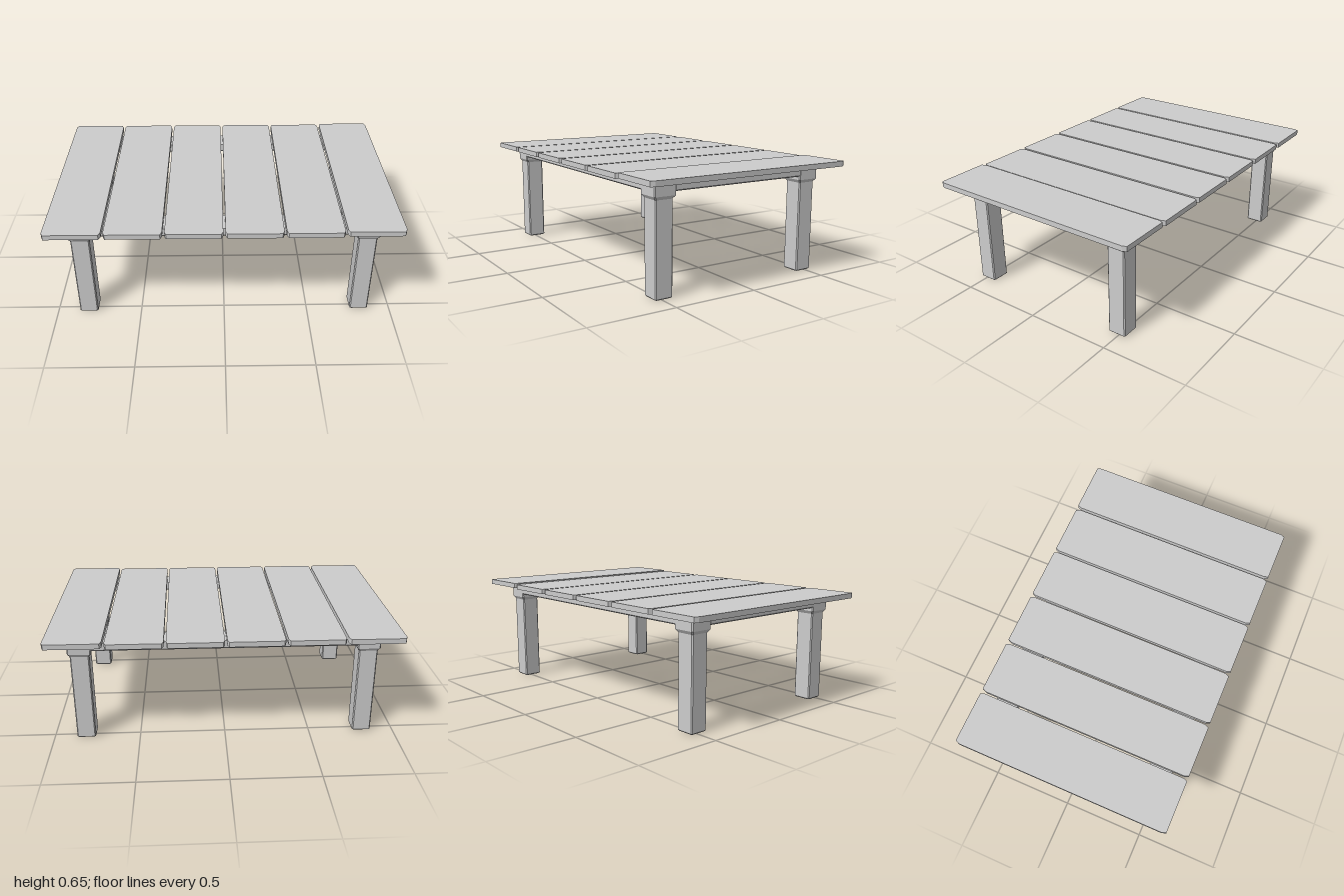
import * as THREE from 'three';

// Stacks chamfered rectangles [y, halfX, halfZ, chamferX, chamferZ] into a closed, flat-faced solid
function loft(sections) {
  const rings = sections.map(([y, w, d, cx, cz]) => [
    [w, d - cz], [w, cz - d], [w - cx, -d], [cx - w, -d],
    [-w, cz - d], [-w, d - cz], [cx - w, d], [w - cx, d],
  ].map(([x, z]) => [x, y, z]));
  const pos = [];
  const tri = (a, b, c) => pos.push(...a, ...b, ...c);
  for (let k = 0; k < rings.length - 1; k++) {
    const lo = rings[k], hi = rings[k + 1];
    for (let i = 0; i < 8; i++) {
      const j = (i + 1) % 8;
      tri(lo[i], lo[j], hi[j]);
      tri(lo[i], hi[j], hi[i]);
    }
  }
  const bottom = rings[0], top = rings[rings.length - 1];
  for (let i = 1; i < 7; i++) {
    tri(bottom[0], bottom[i + 1], bottom[i]);
    tri(top[0], top[i], top[i + 1]);
  }
  const geo = new THREE.BufferGeometry();
  geo.setAttribute('position', new THREE.Float32BufferAttribute(pos, 3));
  geo.computeVertexNormals();
  return geo;
}

export function createModel() {
  const group = new THREE.Group();
  const grey = new THREE.MeshStandardMaterial({ color: 0xcccccc });
  grey.name = 'light grey';
  const add = (name, geo, x, y, z) => {
    const mesh = new THREE.Mesh(geo, grey);
    mesh.name = name;
    mesh.position.set(x, y, z);
    group.add(mesh);
  };

  // Six tabletop planks with clipped corners; the last sits slightly proud
  const plank = loft([[0, 0.161, 0.648, 0.01, 0.024], [0.03, 0.161, 0.648, 0.01, 0.024]]);
  for (let i = 0; i < 6; i++) {
    add('plank', plank, -0.8375 + i * 0.335, i === 5 ? 0.618 : 0.612, 0);
  }

  // Legs flaring into wider corner blocks
  const b = 0.006;
  const leg = loft([
    [0, 0.054 - b, 0.0535 - b, b, b],
    [b, 0.054, 0.0535, b, b],
    [0.523, 0.054, 0.0535, b, b],
    [0.541, 0.066, 0.066, b, b],
    [0.612, 0.066, 0.066, b, b],
  ]);

  // Apron rails joining the corner blocks
  const rail = (w, d) => loft([
    [0.561, w - b, d - b, b, b], [0.561 + b, w, d, b, b], [0.612, w, d, b, b],
  ]);
  const longRail = rail(0.76, 0.066), shortRail = rail(0.066, 0.43);

  for (const s of [-1, 1]) {
    add('longRail', longRail, 0, 0, s * 0.487);
    add('shortRail', shortRail, s * 0.814, 0, 0);
    for (const t of [-1, 1]) add('leg', leg, s * 0.814, 0, t * 0.487);
  }
  return group;
}
